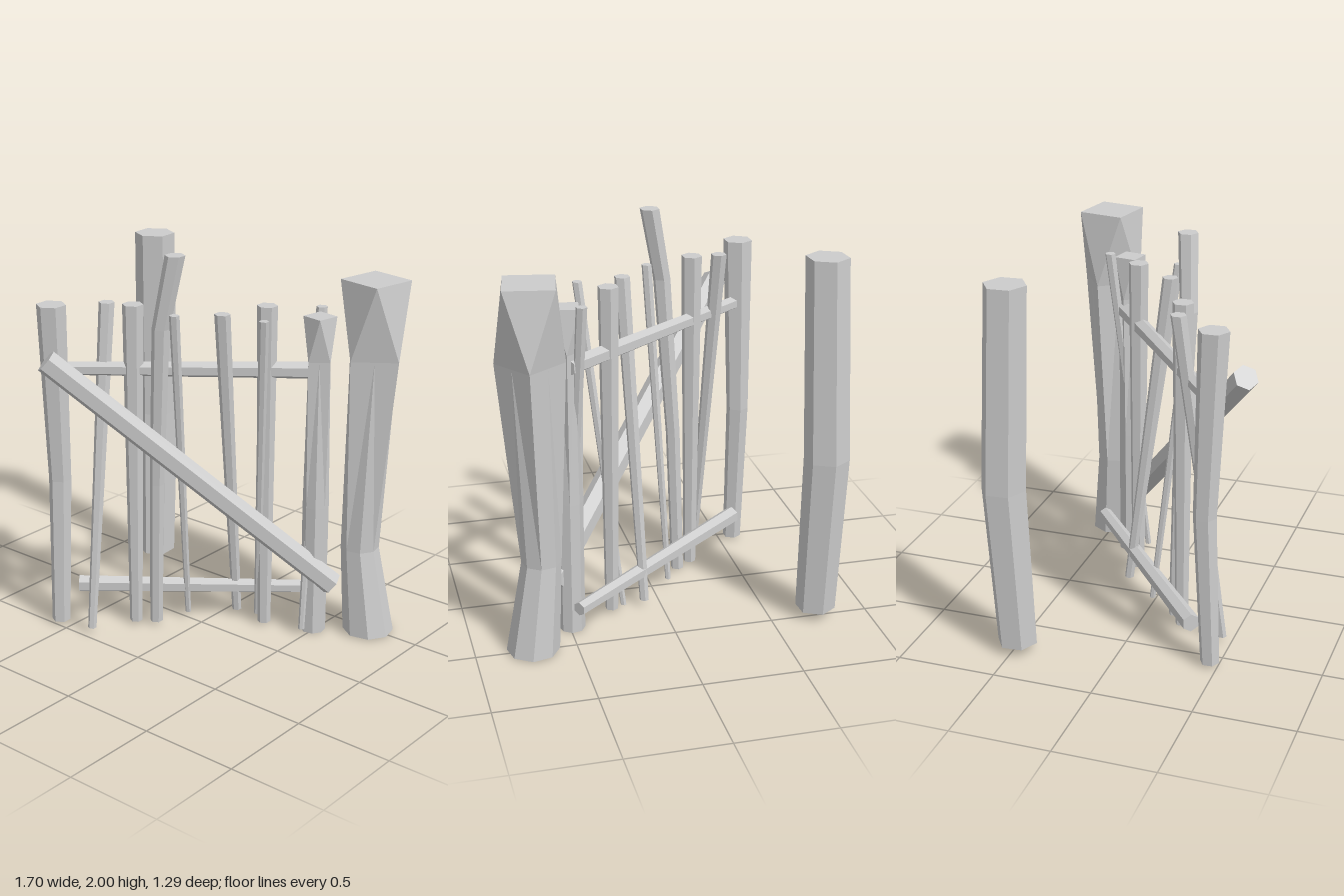
import * as THREE from 'three';

const V = (x, y, z) => new THREE.Vector3(x, y, z);
const material = new THREE.MeshStandardMaterial({ color: 0xcccccc, flatShading: true, side: THREE.DoubleSide });

// Faceted skin over rings of equal point count, closed at both ends
function loft(name, rings, centres) {
  const pos = [];
  const tri = (...pts) => pts.forEach(p => pos.push(p.x, p.y, p.z));
  const n = rings[0].length, last = rings.length - 1;
  for (let i = 0; i < n; i++) {
    const j = (i + 1) % n;
    for (let k = 0; k < last; k++) {
      const a = rings[k][i], b = rings[k][j], c = rings[k + 1][j], d = rings[k + 1][i];
      // alternating diagonals let a square cap turn into a square set on its corner
      if (i % 2 === 0) { tri(a, d, b); tri(b, d, c); }
      else { tri(a, d, c); tri(a, c, b); }
    }
    tri(centres[0], rings[0][i], rings[0][j]);
    tri(centres[last], rings[last][j], rings[last][i]);
  }
  const geometry = new THREE.BufferGeometry();
  geometry.setAttribute('position', new THREE.Float32BufferAttribute(pos, 3));
  geometry.computeVertexNormals();
  const mesh = new THREE.Mesh(geometry, material);
  mesh.name = name;
  return mesh;
}

// Ring of points around c; radius may depend on the point's index
function ring(c, radius, sides, phase, u, v) {
  return Array.from({ length: sides }, (_, i) => {
    const a = phase + i / sides * Math.PI * 2, r = radius(i);
    return c.clone().addScaledVector(u, r * Math.cos(a)).addScaledVector(v, r * Math.sin(a));
  });
}

// Upright timber with level cuts; stations are [x, y, z, radius]
function upright(name, stations, sides = 6, phase = 0.5) {
  const centres = stations.map(s => V(s[0], s[1], s[2]));
  const rings = stations.map((s, k) => ring(centres[k], () => s[3], sides, phase, V(1, 0, 0), V(0, 0, 1)));
  return loft(name, rings, centres);
}

// Post whose two upper stations are squares turned 45 degrees to each other
function hewnPost(name, stations) {
  const centres = stations.map(s => V(s[0], s[1], s[2]));
  const rings = stations.map((s, k) => {
    const corner = k === stations.length - 1 ? 0 : 1;
    const square = k >= stations.length - 2;
    const radius = i => (square && i % 2 !== corner ? s[3] * Math.SQRT1_2 : s[3]);
    return ring(centres[k], radius, 8, 55 * Math.PI / 180, V(1, 0, 0), V(0, 0, 1));
  });
  return loft(name, rings, centres);
}

// Straight bar cut square to its own direction
function bar(name, from, to, r0, r1, phase = 0) {
  const a = V(...from), b = V(...to);
  const d = b.clone().sub(a).normalize();
  const u = d.clone().cross(V(0, 1, 0)).normalize();
  const v = u.clone().cross(d);
  return loft(name, [ring(a, () => r0, 6, phase, u, v), ring(b, () => r1, 6, phase, u, v)], [a, b]);
}

export function createModel() {
  const model = new THREE.Group();
  model.name = 'openGate';

  // Fixed posts either side of the opening
  model.add(upright('latchPost', [
    [-0.735, 0.05, -0.485, 0.1], [-0.75, 0.88, -0.52, 0.112], [-0.725, 1.89, -0.485, 0.105],
  ], 6, 1.5));
  model.add(hewnPost('hingePost', [
    [0.715, 0.01, -0.49, 0.13], [0.66, 0.47, -0.47, 0.097],
    [0.69, 1.49, -0.487, 0.165], [0.685, 1.87, -0.487, 0.17],
  ]));

  // Swung-open gate leaf
  const gate = new THREE.Group();
  gate.name = 'gate';
  model.add(gate);
  gate.add(upright('gateEndPost', [
    [-0.575, 0.02, 0.457, 0.048], [-0.582, 0.8, 0.425, 0.058], [-0.575, 1.725, 0.455, 0.075],
  ]));
  gate.add(hewnPost('gateHingeStile', [
    [0.487, 0.005, -0.318, 0.065], [0.487, 0.7, -0.316, 0.066],
    [0.487, 1.47, -0.315, 0.076], [0.485, 1.69, -0.315, 0.082],
  ]));

  // Uneven pickets, bottom station first
  const pickets = [
    [[-0.355, 0.04, 0.455, 0.022], [-0.41, 1.72, 0.235, 0.04]],
    [[-0.265, 0.02, 0.215, 0.033], [-0.26, 1.73, 0.21, 0.053]],
    [[-0.18, 0.02, 0.152, 0.033], [-0.155, 0.8, 0.165, 0.037], [-0.1, 1.63, 0.188, 0.045], [-0.03, 2, 0.16, 0.05]],
    [[-0.09, 0.04, 0, 0.015], [-0.02, 1.71, 0.18, 0.026]],
    [[0.085, 0.04, -0.19, 0.024], [0.143, 1.71, 0.015, 0.04]],
    [[0.258, 0.02, -0.2, 0.034], [0.258, 1.73, -0.19, 0.052]],
    [[0.2, 0.04, -0.215, 0.015], [0.372, 1.71, -0.015, 0.025]],
    [[0.485, 0.04, -0.22, 0.016], [0.43, 1.71, -0.405, 0.028]],
  ];
  pickets.forEach((stations, i) => gate.add(upright('picket' + (i + 1), stations)));

  // Cross rails and diagonal brace
  gate.add(bar('upperRail', [-0.55, 1.395, 0.42], [0.49, 1.405, -0.36], 0.035, 0.045, 0.5));
  gate.add(bar('lowerRail', [-0.54, 0.195, 0.35], [0.48, 0.185, -0.47], 0.046, 0.035, 0.5));
  gate.add(bar('diagonalBrace', [-0.492, 1.485, 0.585], [0.587, 0.285, -0.335], 0.062, 0.062, 0.5));
  return model;
}
